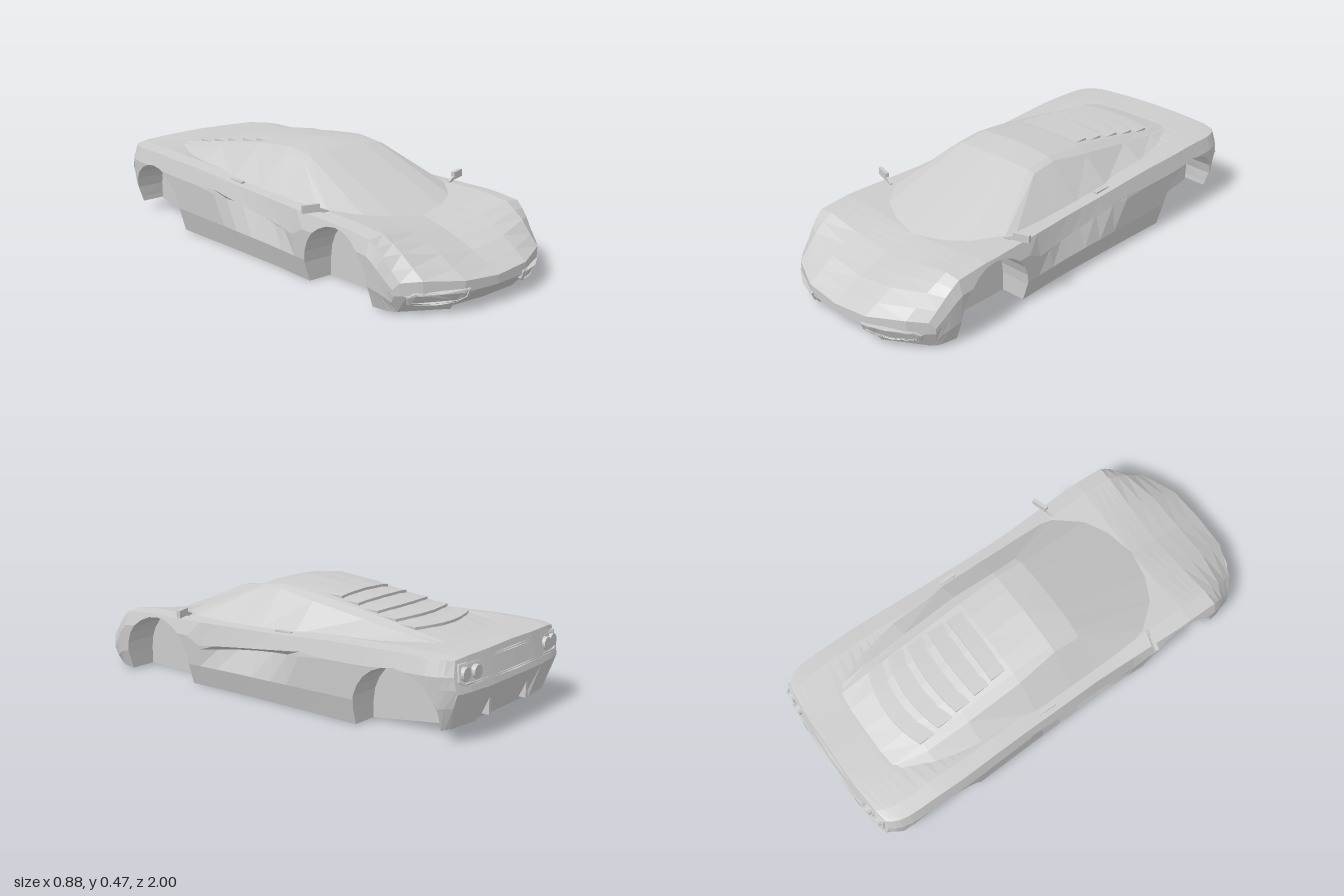
import * as THREE from 'three';

const grey = new THREE.MeshStandardMaterial({ color: 0xcccccc, flatShading: true, side: THREE.DoubleSide });
const { lerp, clamp } = THREE.MathUtils;

// Piecewise-linear curve through [z, value] keys, z falling from nose to tail
function along(keys, z) {
  if (z >= keys[0][0]) return keys[0][1];
  for (let i = 1; i < keys.length; i++) {
    const [za, a] = keys[i - 1], [zb, b] = keys[i];
    if (z >= zb) return lerp(a, b, (za - z) / (za - zb));
  }
  return keys[keys.length - 1][1];
}

function add(group, name, geometry, x = 0, y = 0, z = 0) {
  const mesh = new THREE.Mesh(geometry, grey);
  mesh.name = name;
  mesh.position.set(x, y, z);
  group.add(mesh);
  return mesh;
}

// Skin over rows of [x, y, z] points (+x half, nose to tail), mirrored to -x
function mirroredLoft(rows) {
  const pos = [], v = (p) => new THREE.Vector3(...p);
  const tri = (a, b, c) => {
    const area = v(b).sub(v(a)).cross(v(c).sub(v(a))).length();
    if (area < 1e-7) return;
    pos.push(...a, ...b, ...c);
    for (const p of [a, c, b]) pos.push(-p[0], p[1], p[2]);
  };
  for (let i = 0; i < rows.length - 1; i++)
    for (let j = 0; j < rows[i].length - 1; j++) {
      const a = rows[i][j], b = rows[i][j + 1], c = rows[i + 1][j + 1], d = rows[i + 1][j];
      tri(a, d, c);
      tri(a, c, b);
    }
  const g = new THREE.BufferGeometry();
  g.setAttribute('position', new THREE.Float32BufferAttribute(pos, 3));
  g.computeVertexNormals();
  return g;
}

// Lines that run the length of the body
const halfWidth = [[1, 0.395], [0.87, 0.415], [0.74, 0.426], [0.55, 0.428], [0.13, 0.408], [-0.3, 0.414],
  [-0.6, 0.424], [-0.85, 0.42], [-0.95, 0.4], [-1, 0.378]];
const shoulder = [[1, 0.13], [0.87, 0.215], [0.74, 0.268], [0.6, 0.282], [0.2, 0.284], [-0.1, 0.296],
  [-0.4, 0.315], [-0.7, 0.326], [-1, 0.322]];
const centre = [[1, 0.115], [0.87, 0.178], [0.74, 0.22], [0.6, 0.254], [-0.5, 0.26], [-0.7, 0.32], [-0.8, 0.333], [-1, 0.337]];
const floor = [[1, 0.008], [0.7, 0.004], [0.3, 0], [-0.52, 0], [-0.95, 0.055]];
const innerFloor = [[1, 0.19], [0.74, 0.27], [-0.9, 0.27], [-1, 0.2]];

const noseBow = (x) => 0.115 * (Math.abs(x) / 0.355) ** 3;
const noseRake = (y) => 0.64 * Math.max(0, 0.08 - y);
const tailBow = (x) => 0.03 * (Math.abs(x) / 0.38) ** 4;
const tailRake = (y) => (y < 0.2 ? 0.36 * (0.2 - y) : 0.22 * (y - 0.2));

// Bend the ends round in plan and rake them in profile
function bend([x, y, z]) {
  const n = clamp((z - 0.74) / 0.26, 0, 1), t = clamp((-0.9 - z) / 0.1, 0, 1);
  const rakeIn = clamp((z - 0.9) / 0.1, 0, 1);
  return [x, y, z - n * noseBow(x) - rakeIn * noseRake(y) + t * (tailBow(x) + tailRake(y))];
}

// Half section from floor centre, round the wheel well and side, to deck centre
function section(z, arch) {
  const w = along(halfWidth, z), top = along(shoulder, z), low = along(floor, z), inner = along(innerFloor, z);
  const cut = Math.min(arch ?? low, top - 0.004);
  const sideX = (y) => w * along([[0, 0.91], [-0.33, 0.98], [-0.78, 1], [-1, 0.955]], -(y - low) / (top - low));
  const side = (y, dent = 0) => [sideX(Math.max(y, cut)) - dent, Math.max(y, cut), z];
  // Side scoop: a groove under the rising door crease
  const s = (0.29 - z) / 0.55, scoop = s >= 0 && s <= 1;
  const crease = scoop ? lerp(0.185, 0.25, s) : lerp(low, top, 0.78);
  const groove = scoop ? side(crease - 0.018, 0.045 * Math.sin(Math.PI * s)) : side(lerp(low, top, 0.6));
  const deck = along(centre, z), recess = z === 1 ? 0.05 : z === -1 ? -0.03 : 0;
  return [[0, low, z - recess], [inner * 0.95, low, z - recess], [inner, low, z], [inner, cut, z], side(cut),
    side(lerp(low, top, 0.33)), groove, side(crease), [w * 0.955, top, z],
    [w * 0.8, top + 0.008, z], [w * 0.42, lerp(deck, top + 0.008, 0.45), z], [0, deck, z]];
}

function bodyRows() {
  const rows = [];
  const arch = (cz, cy, r) => {
    rows.push(section(cz + r));
    for (let k = 0; k <= 12; k++) {
      const a = (Math.PI * k) / 12;
      rows.push(section(cz + r * Math.cos(a), cy + r * Math.sin(a)));
    }
    rows.push(section(cz - r));
  };
  const plain = (...zs) => zs.forEach((z) => rows.push(section(z)));
  plain(1, 0.94, 0.87, 0.8);
  arch(0.543, 0.082, 0.188);
  plain(0.29, 0.2, 0.1, 0, -0.1, -0.19, -0.26, -0.4);
  arch(-0.72, 0.072, 0.195);
  plain(-0.955, -1);
  // Close both ends by folding the last section onto one level line
  rows.unshift(rows[0].map(([x, , z]) => [x, 0.08, Math.max(z, 1)]));
  rows.push(rows[rows.length - 1].map(([x, , z]) => [x, 0.2, Math.min(z, -1)]));
  return rows.map((row) => row.map(bend));
}

// Greenhouse: each row runs roof centre to window base
const cabin = [
  [[0, 0.252, 0.6], [0.13, 0.26, 0.58], [0.24, 0.268, 0.53], [0.33, 0.282, 0.41], [0.345, 0.282, 0.36]],
  [[0, 0.445, 0.13], [0.11, 0.443, 0.13], [0.19, 0.437, 0.125], [0.222, 0.425, 0.12], [0.35, 0.285, 0.12]],
  [[0, 0.467, 0], [0.11, 0.461, 0], [0.19, 0.452, 0], [0.218, 0.44, 0], [0.35, 0.292, 0]],
  [[0, 0.448, -0.19], [0.11, 0.444, -0.19], [0.19, 0.434, -0.19], [0.235, 0.415, -0.19], [0.35, 0.302, -0.19]],
  [[0, 0.406, -0.45], [0.11, 0.403, -0.45], [0.19, 0.394, -0.45], [0.235, 0.376, -0.45], [0.335, 0.315, -0.45]],
  [[0, 0.368, -0.65], [0.11, 0.366, -0.65], [0.19, 0.36, -0.65], [0.23, 0.347, -0.65], [0.3, 0.318, -0.65]],
  [[0, 0.33, -0.82], [0.11, 0.33, -0.82], [0.19, 0.328, -0.82], [0.22, 0.326, -0.82], [0.26, 0.318, -0.82]],
];
const cabinPart = (r0, r1, c0, c1) => mirroredLoft(cabin.slice(r0, r1 + 1).map((row) => row.slice(c0, c1 + 1).reverse()));
const roofY = (x, z) => {
  const line = (j) => along(cabin.map((row) => [row[j][2], row[j][1]]), z);
  return x < 0.11 ? lerp(line(0), line(1), x / 0.11) : lerp(line(1), line(2), (x - 0.11) / 0.08);
};

// Wedge slat standing proud of the engine cover, its back edge at z
function slat(z, half, bow) {
  const ring = [0, 0.04, 0.08, 0.12, 0.16].map((q) => {
    const x = (q / 0.16) * half, zb = z + bow * (x / half) ** 2;
    return [[x, roofY(x, zb + 0.085) - 0.002, zb + 0.085], [x, roofY(x, zb) + 0.011, zb], [x, roofY(x, zb) - 0.008, zb]];
  });
  // close the outer end
  ring.push(ring[4].map(() => ring[4][2]));
  return mirroredLoft(ring);
}

// Thin outline or panel moulded to the nose or tail surface
function moulded(points, hole, depth, surface) {
  const shape = new THREE.Shape(points.map((p) => new THREE.Vector2(...p)));
  if (hole) shape.holes.push(new THREE.Path(hole.map((p) => new THREE.Vector2(...p))));
  const g = new THREE.ExtrudeGeometry(shape, { depth, bevelEnabled: false }), p = g.attributes.position;
  for (let i = 0; i < p.count; i++) p.setZ(i, p.getZ(i) + surface(p.getX(i), p.getY(i)));
  g.computeVertexNormals();
  return g;
}
const inset = (pts, cx, cy, fx, fy) => pts.map(([x, y]) => [cx + (x - cx) * fx, cy + (y - cy) * fy]);

export function createModel() {
  const car = new THREE.Group();
  car.name = 'sportsCarBody';
  add(car, 'lowerBody', mirroredLoft(bodyRows()));
  add(car, 'windscreen', cabinPart(0, 1, 0, 3));
  add(car, 'roofAndEngineCover', cabinPart(1, 6, 0, 3));
  add(car, 'sideWindows', cabinPart(0, 6, 3, 4));

  [-0.28, -0.38, -0.49, -0.595, -0.7].forEach((z, i) => add(car, 'louvre', slat(z, 0.16 + i * 0.008, 0.01 * i)));

  const nose = (x, y) => 1 - noseBow(x) - noseRake(y) - 0.012;
  const tail = (x, y) => -1 + tailBow(x) + tailRake(y) - 0.008;
  for (const s of [1, -1]) {
    const flip = (pts) => pts.map(([x, y]) => [s * x, y]);
    // Headlights
    const lamp = [[0.145, 0.06], [0.175, 0.043], [0.25, 0.038], [0.345, 0.042], [0.36, 0.075], [0.34, 0.092], [0.25, 0.096], [0.145, 0.096]];
    const lens = inset(lamp, 0.25, 0.068, 0.92, 0.75);
    add(car, 'headlightFrame', moulded(flip(lamp), flip(lens), 0.019, nose));
    add(car, 'headlightLens', moulded(flip(lens), null, 0.014, nose));

    // Door mirrors
    const mirror = new THREE.Group();
    mirror.name = 'doorMirror';
    mirror.position.set(s * 0.405, 0.311, 0.39);
    mirror.rotation.y = s * 0.3;
    add(mirror, 'mirrorHead', new THREE.BoxGeometry(0.072, 0.032, 0.016));
    const arm = add(mirror, 'mirrorArm', new THREE.BoxGeometry(0.05, 0.014, 0.012), s * -0.05, -0.014, 0);
    arm.rotation.z = s * 0.35;
    car.add(mirror);

    add(car, 'doorHandle', new THREE.BoxGeometry(0.018, 0.012, 0.08), s * 0.362, 0.302, -0.145);

    // Round tail lamps
    for (const x of [0.262, 0.324]) {
      const lampMesh = add(car, 'tailLamp', new THREE.CylinderGeometry(0.027, 0.027, 0.03, 16), s * x, 0.268, tail(x, 0.268) + 0.012);
      lampMesh.rotation.x = Math.PI / 2;
    }
    // Diffuser fins
    add(car, 'diffuserFin', new THREE.BoxGeometry(0.014, 0.07, 0.05), s * 0.14, 0.105, -0.945);
  }

  // Surround of the tail lamp panel
  const panel = [[-0.365, 0.245], [-0.335, 0.228], [0, 0.226], [0.335, 0.228], [0.365, 0.245], [0.355, 0.308], [0, 0.312], [-0.355, 0.308]];
  add(car, 'tailPanelFrame', moulded(panel, inset(panel, 0, 0.268, 0.975, 0.82), 0.02, tail));
  return car;
}
